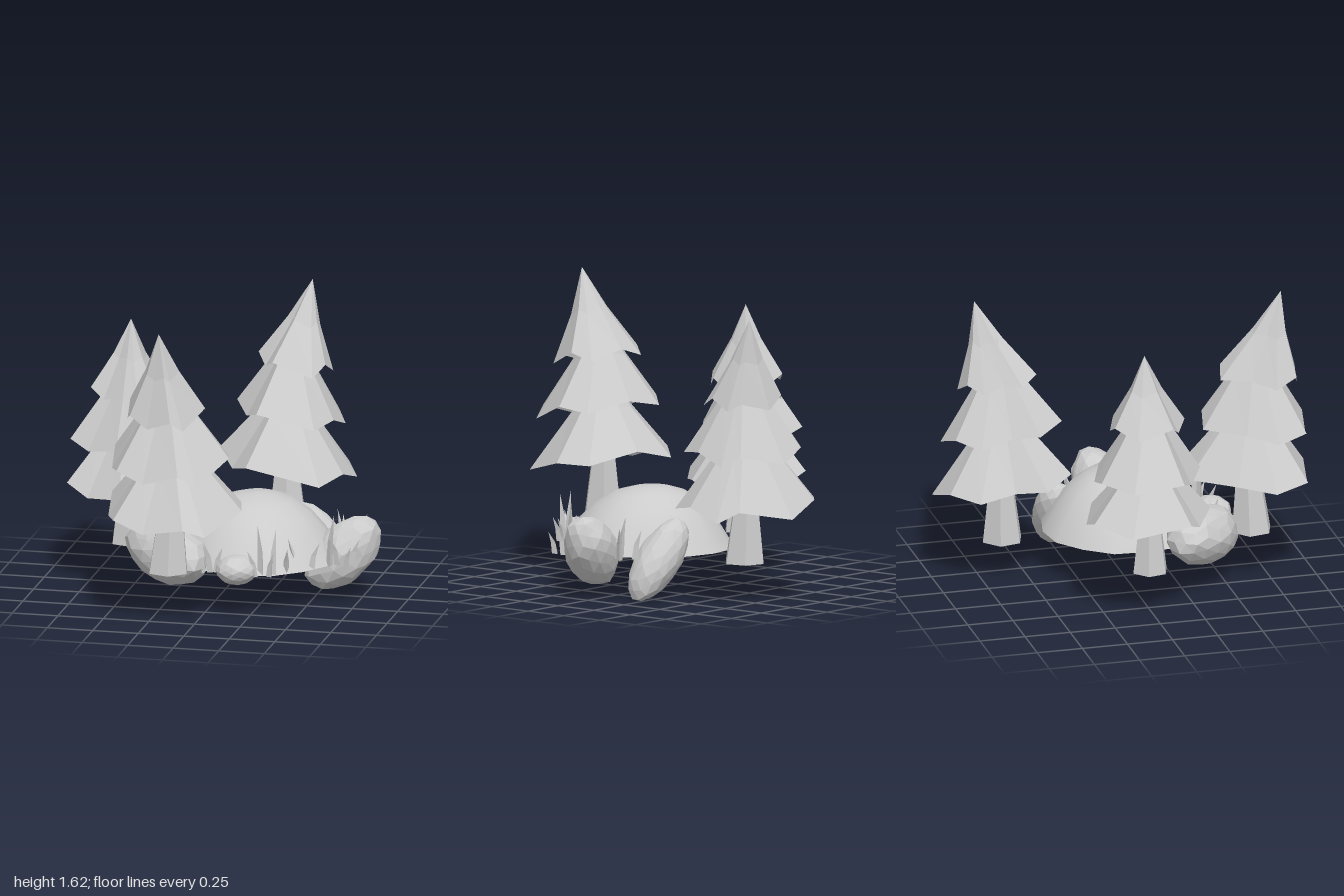
import * as THREE from 'three';
import { mergeVertices } from 'three/addons/utils/BufferGeometryUtils.js';

const flat = new THREE.MeshStandardMaterial({ color: 0xcccccc, flatShading: true, side: THREE.DoubleSide });
const smooth = new THREE.MeshStandardMaterial({ color: 0xcccccc, side: THREE.DoubleSide });

// Small seeded generator, returns -1..1
function seeded(seed) {
  let s = seed * 7919 + 17;
  return () => {
    s = (s * 16807) % 2147483647;
    return (s / 2147483647) * 2 - 1;
  };
}

// Surface through a list of rings with the same number of points
function loft(rings) {
  const n = rings[0].length, idx = [];
  for (let i = 0; i < rings.length - 1; i++) {
    for (let j = 0; j < n; j++) {
      const a = i * n + j, b = i * n + ((j + 1) % n);
      idx.push(a, b, a + n, b, b + n, a + n);
    }
  }
  const g = new THREE.BufferGeometry();
  g.setAttribute('position', new THREE.Float32BufferAttribute(rings.flat(2), 3));
  g.setIndex(idx);
  g.computeVertexNormals();
  return g;
}

function mesh(name, geometry, material) {
  const m = new THREE.Mesh(geometry, material);
  m.name = name;
  return m;
}

// One skirt of branches: an open, slightly flared cone with a jagged, tilted rim
function tierGeometry(top, [cx, y, cz, rx, rz], outline, tilt, rnd) {
  const rim = outline.map(([u, v], j) => [u * rx, v * rz, (j % 2 ? -0.024 : 0.024) + 0.01 * rnd()]);
  const ring = (f, t, jag) => rim.map(([x, z, dy]) => [
    THREE.MathUtils.lerp(cx, top[0], t) + x * f,
    THREE.MathUtils.lerp(y, top[1], t) + jag * (dy + x * tilt[0] + z * tilt[1]),
    THREE.MathUtils.lerp(cz, top[2], t) + z * f,
  ]);
  return loft([ring(0, 1, 0), ring(0.43, 0.5, 0.5), ring(1, 0, 1)]);
}

function makeTree(name, { base, apex, tiers, rim, tilt, trunkR, seed }) {
  const group = new THREE.Group();
  group.name = name;
  const rnd = seeded(seed);
  const [bx, by, bz] = base, [low, mid] = tiers;
  // Six-sided trunk, narrowing quickly and open at the foot
  const trunkRing = (x, y, z, r) => Array.from({ length: 6 }, (_, j) => {
    const a = ((j + 0.3) / 6) * Math.PI * 2;
    return [x + Math.cos(a) * r, y, z + Math.sin(a) * r];
  });
  group.add(mesh('trunk', loft([
    trunkRing(mid[0], mid[1] + 0.1, mid[2], 0.02),
    trunkRing((bx + low[0]) / 2, low[1] + 0.03, (bz + low[2]) / 2, trunkR * 0.58),
    trunkRing(bx, by, bz, trunkR),
  ]), flat));
  // Tiers share the outline of the lowest rim; the lower ones start inside the tier above
  const outline = rim.map(([x, z]) => [(x - low[0]) / low[3], (z - low[2]) / low[4]]);
  tiers.forEach((t, i) => {
    const up = tiers[i + 1];
    const top = up ? [up[0], up[1] + 0.26, up[2]] : apex;
    group.add(mesh('branchTier' + (i + 1), tierGeometry(top, t, outline, tilt, rnd), flat));
  });
  return group;
}

// Faceted boulder: an icosphere squashed, roughened and turned
function makeRock(name, pos, size, rot, seed) {
  const ball = new THREE.IcosahedronGeometry(1, 2);
  ball.deleteAttribute('uv');
  ball.deleteAttribute('normal');
  const g = mergeVertices(ball, 1e-4), p = g.attributes.position, rnd = seeded(seed);
  for (let i = 0; i < p.count; i++) {
    const k = 1.01 + 0.04 * rnd();
    p.setXYZ(i, p.getX(i) * k, p.getY(i) * k, p.getZ(i) * k);
  }
  g.scale(...size);
  g.computeVertexNormals();
  const m = mesh(name, g, flat);
  m.position.set(...pos);
  m.rotation.set(...rot);
  return m;
}

// Smooth open dome with an irregular outline
function makeMound() {
  const profile = [[0, 0.56], [0.1, 0.553], [0.2, 0.525], [0.3, 0.46], [0.38, 0.375], [0.44, 0.29], [0.48, 0.23]];
  const outline = [1.0, 0.98, 0.98, 1.02, 1.0, 0.96, 0.98, 0.95, 0.92, 0.97, 0.95, 0.98, 0.96, 0.95, 0.93, 0.96];
  const ring = ([r, y]) => outline.map((o, j) => {
    const a = (j / outline.length) * Math.PI * 2, k = r * THREE.MathUtils.lerp(0.97, o, r / 0.48);
    return [0.18 + Math.cos(a) * k, y, 0.02 + r * 0.08 + Math.sin(a) * k];
  });
  return mesh('hill', loft(profile.map(ring)), smooth);
}

// Curved three-sided blade
function makeBlade(x, z, h, dir, lean) {
  const ring = (t, r) => [0, 1, 2].map((j) => {
    const a = dir + (j / 3) * Math.PI * 2, s = lean * t * t;
    return [x + Math.cos(dir) * s + Math.cos(a) * r, 0.23 + h * t, z + Math.sin(dir) * s + Math.sin(a) * r];
  });
  return mesh('grassBlade', loft([ring(1, 0), ring(0.5, 0.016), ring(0, 0.02)]), flat);
}

export function createModel() {
  const model = new THREE.Group();
  model.name = 'forestHill';
  model.add(makeMound());

  // Trees; each tier is centre x, rim height, centre z, radius x, radius z; rim is the lowest outline (x, z)
  model.add(makeTree('frontTree', {
    base: [-0.165, 0.265, 0.66], apex: [-0.18, 1.62, 0.82], trunkR: 0.115, tilt: [0, -0.14], seed: 3,
    tiers: [[-0.14, 0.61, 0.63, 0.37, 0.36], [-0.155, 0.885, 0.665, 0.325, 0.31], [-0.17, 1.165, 0.69, 0.215, 0.23]],
    rim: [[-0.51, 0.5], [-0.28, 0.28], [-0.06, 0.33], [0.19, 0.46], [0.235, 0.65], [0.1, 0.95],
      [-0.01, 0.99], [-0.24, 0.95], [-0.41, 0.91], [-0.48, 0.72]],
  }));
  model.add(makeTree('leftTree', {
    base: [-0.535, 0.23, 0], apex: [-0.53, 1.46, -0.03], trunkR: 0.1, tilt: [-0.08, 0], seed: 8,
    tiers: [[-0.53, 0.53, 0, 0.31, 0.34], [-0.56, 0.775, -0.015, 0.27, 0.29], [-0.535, 1.055, -0.01, 0.19, 0.205]],
    rim: [[-0.84, 0.15], [-0.83, -0.17], [-0.66, -0.34], [-0.45, -0.33], [-0.26, -0.25], [-0.22, -0.04],
      [-0.26, 0.12], [-0.39, 0.26], [-0.51, 0.34], [-0.71, 0.23]],
  }));
  model.add(makeTree('backTree', {
    base: [0.19, 0.205, -0.625], apex: [0.3, 1.54, -0.75], trunkR: 0.115, tilt: [-0.12, 0.06], seed: 5,
    tiers: [[0.18, 0.54, -0.64, 0.37, 0.36], [0.2, 0.825, -0.635, 0.29, 0.315], [0.225, 1.1, -0.65, 0.2, 0.205]],
    rim: [[-0.19, -0.65], [-0.14, -0.83], [0.01, -0.96], [0.24, -1.0], [0.48, -0.83], [0.55, -0.73],
      [0.52, -0.52], [0.43, -0.34], [0.04, -0.28], [-0.07, -0.44]],
  }));

  // Boulders around the hill
  model.add(makeRock('leftRock', [-0.24, 0.295, 0.37], [0.29, 0.16, 0.165], [0, -0.7, -0.15], 2));
  model.add(makeRock('frontRock', [0.18, 0.26, 0.53], [0.11, 0.078, 0.105], [0, 0.4, 0], 4));
  model.add(makeRock('rightRock', [0.655, 0.257, 0.055], [0.24, 0.15, 0.14], [0, 0.33, 0.76], 6));
  model.add(makeRock('backRock', [0.47, 0.218, -0.26], [0.255, 0.118, 0.115], [0, -0.15, -0.87], 9));

  // Grass blades: x, z, height, lean direction, lean
  const grass = new THREE.Group();
  grass.name = 'grass';
  [
    [0.03, 0.5, 0.17, 2.6, 0.04], [0.06, 0.49, 0.14, 0.4, 0.04], [-0.01, 0.52, 0.11, 3.5, 0.03],
    [0.31, 0.5, 0.27, 3.0, 0.02], [0.37, 0.49, 0.26, 0.3, 0.02], [0.28, 0.54, 0.15, 2.2, 0.05],
    [0.36, 0.52, 0.13, 0.9, 0.04], [0.46, 0.36, 0.17, 3.4, 0.04], [0.54, 0.32, 0.15, 0.1, 0.05],
    [0.43, 0.43, 0.14, 1.2, 0.04], [0.62, 0.23, 0.28, 5.5, 0.03], [0.66, 0.2, 0.16, 2.9, 0.05],
    [0.73, 0.19, 0.15, 0.1, 0.05], [0.72, 0.25, 0.12, 0.8, 0.04], [0.61, -0.11, 0.22, 3.6, 0.03],
    [0.65, -0.13, 0.16, 5.2, 0.04], [0.69, -0.17, 0.18, 5.6, 0.05], [0.6, -0.2, 0.16, 4.4, 0.04],
  ].forEach((b) => grass.add(makeBlade(...b)));
  model.add(grass);
  return model;
}
